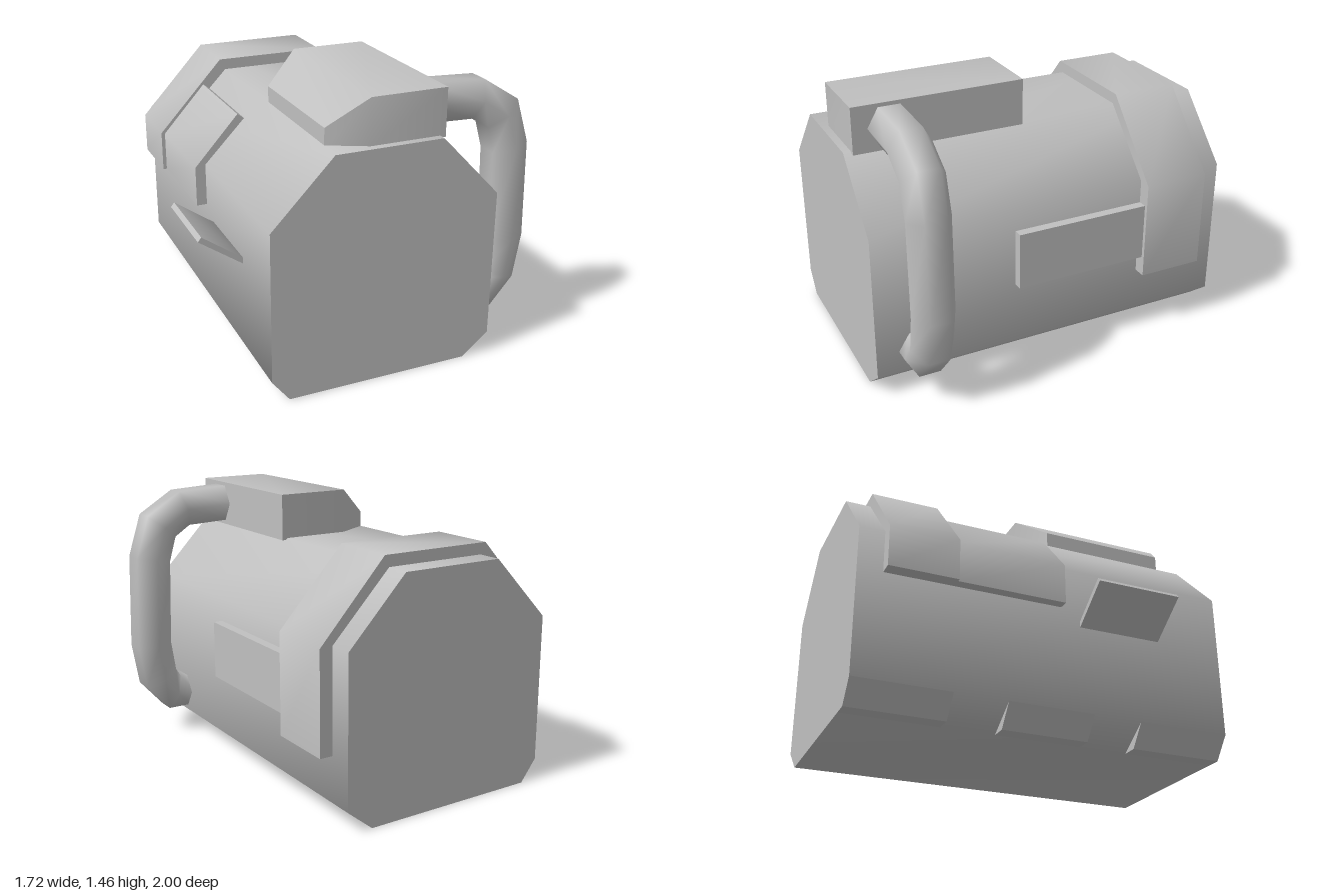
import * as THREE from 'three';
import { toCreasedNormals } from 'three/addons/utils/BufferGeometryUtils.js';

const grey = new THREE.MeshStandardMaterial({ color: 0xc0c0c0 });
grey.name = 'plain grey';

function part(group, name, geometry) {
  const mesh = new THREE.Mesh(geometry, grey);
  mesh.name = name;
  group.add(mesh);
}

// Front outline swept from z0 to z1, smooth round the shallow corners
function sweep(points, z0, z1, crease = 1.1) {
  const shape = new THREE.Shape(points.map(([x, y]) => new THREE.Vector2(x, y)));
  const geometry = new THREE.ExtrudeGeometry(shape, { depth: z1 - z0, bevelEnabled: false });
  geometry.translate(0, 0, z0);
  return toCreasedNormals(geometry, crease);
}

// Top housing: box whose -x end narrows and slopes down
function housingGeometry() {
  const geometry = new THREE.BoxGeometry(2, 2, 2, 2, 1, 1);
  const sections = [
    { x: -0.31, top: 1.31, back: 0.16, front: 0.865 },
    { x: -0.12, top: 1.46, back: 0.05, front: 0.96 },
    { x: 0.275, top: 1.46, back: 0.05, front: 0.96 },
  ];
  const p = geometry.attributes.position;
  for (let i = 0; i < p.count; i++) {
    const s = sections[Math.round(p.getX(i)) + 1];
    p.setXYZ(i, s.x, p.getY(i) > 0 ? s.top : 1.215, p.getZ(i) > 0 ? s.front : s.back);
  }
  return toCreasedNormals(geometry, 0.8);
}

// Handle: six-sided tube through pairs of outer and inner bend points
function handleGeometry() {
  const stations = [
    [0.25, 1.441, 0.25, 1.24], [0.565, 1.425, 0.51, 1.23], [0.765, 1.3, 0.6, 1.17],
    [0.84, 1.065, 0.64, 1.03], [0.855, 0.54, 0.655, 0.55], [0.815, 0.3, 0.63, 0.38],
    [0.68, 0.145, 0.6, 0.33], [0.54, 0.145, 0.54, 0.33],
  ];
  const sides = 6, radius = 0.115, zMid = 0.765;
  const positions = [], index = [];
  stations.forEach(([ox, oy, ix, iy], s) => {
    for (let k = 0; k < sides; k++) {
      const a = (k / sides) * Math.PI * 2;
      const t = 0.5 + 0.5 * Math.sin(a) / Math.sin(Math.PI / 3);
      positions.push(ix + (ox - ix) * t, iy + (oy - iy) * t, zMid + radius * Math.cos(a));
      if (s > 0) {
        const k2 = (k + 1) % sides;
        const a0 = (s - 1) * sides + k, b0 = (s - 1) * sides + k2;
        const a1 = s * sides + k, b1 = s * sides + k2;
        index.push(a0, a1, b0, b0, a1, b1);
      }
    }
  });
  const geometry = new THREE.BufferGeometry();
  geometry.setAttribute('position', new THREE.Float32BufferAttribute(positions, 3));
  geometry.setIndex(index);
  geometry.computeVertexNormals();
  // Turn the faces outward if the winding came out reversed
  const n = geometry.attributes.normal;
  if (n.getZ(sides * 3) < 0) {
    geometry.setIndex(index.reverse());
    geometry.computeVertexNormals();
  }
  return geometry;
}

export function createModel() {
  const model = new THREE.Group();
  model.name = 'canister';

  // Main body with chamfered corners
  part(model, 'body', sweep([
    [-0.46, 0], [0.42, 0], [0.56, 0.115], [0.56, 0.895],
    [0.245, 1.225], [-0.315, 1.225], [-0.635, 0.895], [-0.635, 0.115],
  ], -1, 1));

  // Wedges along the lower right edge, with two gaps between them
  [[-1, -0.5], [-0.22, 0.24], [0.5, 1]].forEach(([z0, z1], i) => {
    part(model, `edgeWedge${i + 1}`, sweep([[-0.635, 0.115], [-0.545, 0], [-0.46, 0]], z0, z1, 0.5));
  });

  // Raised band near the back, lower on the +x side
  part(model, 'rearBand', sweep([
    [0.55, 0.355], [0.63, 0.355], [0.63, 0.89], [0.27, 1.285], [-0.345, 1.285],
    [-0.71, 0.89], [-0.71, 0.67], [-0.625, 0.67], [-0.625, 0.89],
    [-0.31, 1.215], [0.24, 1.215], [0.55, 0.89],
  ], -0.87, -0.51));

  // Bent plate ahead of the band
  part(model, 'bentPlate', sweep([
    [-0.63, 0.67], [-0.69, 0.67], [-0.69, 0.885], [-0.45, 1.15], [-0.41, 1.12], [-0.63, 0.89],
  ], -0.51, 0.07));

  // Flat block on the handle side
  part(model, 'sideBlock', sweep([[0.55, 0.46], [0.61, 0.46], [0.61, 0.77], [0.55, 0.77]], -0.52, 0.23));

  // Slanted flap
  part(model, 'sideFlap', sweep([
    [-0.625, 0.57], [-0.625, 0.602], [-0.842, 0.757], [-0.86, 0.735],
  ], 0.175, 0.63));

  part(model, 'topHousing', housingGeometry());
  part(model, 'handle', handleGeometry());
  return model;
}
